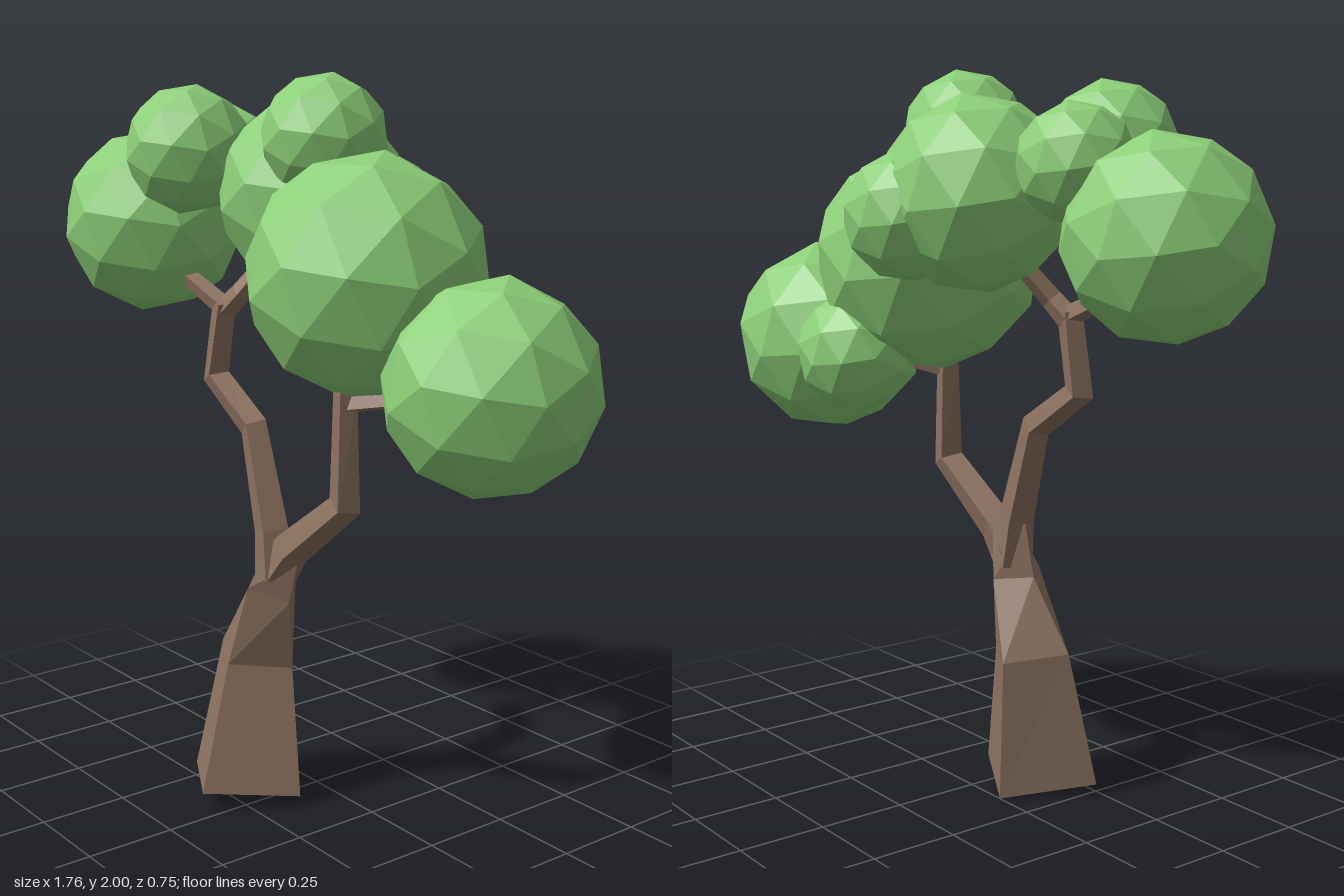
import * as THREE from 'three';

const bark = new THREE.MeshStandardMaterial({ color: 0x8c7260, flatShading: true });
const leaf = new THREE.MeshStandardMaterial({ color: 0x8ccf78, flatShading: true });

// Skins a stack of four-cornered rings (counter-clockwise seen from the tip) and caps both ends.
function loft(rings) {
  const pos = [];
  const quad = (a, b, c, d) => [a, b, c, a, c, d].forEach((p) => pos.push(p.x, p.y, p.z));
  for (let k = 0; k < rings.length - 1; k++) {
    for (let i = 0; i < 4; i++) {
      const j = (i + 1) % 4;
      quad(rings[k][i], rings[k][j], rings[k + 1][j], rings[k + 1][i]);
    }
  }
  quad(...[...rings[0]].reverse());
  quad(...rings[rings.length - 1]);
  const geo = new THREE.BufferGeometry();
  geo.setAttribute('position', new THREE.Float32BufferAttribute(pos, 3));
  geo.computeVertexNormals();
  return geo;
}

// Square-section limb along points [x, y, z, radius], mitred at each bend.
function limb(points, twist = 0.5) {
  const path = points.map((p) => new THREE.Vector3(p[0], p[1], p[2]));
  const dir = (i) => path[i + 1].clone().sub(path[i]).normalize();
  const last = path.length - 1;
  const rings = path.map((p, i) => {
    const t = dir(Math.min(i, last - 1)).add(dir(Math.max(i - 1, 0))).normalize();
    const side = t.clone().cross(new THREE.Vector3(0, 0, 1)).normalize();
    const front = side.clone().cross(t);
    return [0, 1, 2, 3].map((k) => {
      const a = twist + (k * Math.PI) / 2;
      return p.clone()
        .addScaledVector(front, Math.cos(a) * points[i][3])
        .addScaledVector(side, Math.sin(a) * points[i][3]);
    });
  });
  return loft(rings);
}

export function createModel() {
  const group = new THREE.Group();
  const add = (name, geo, mat) => {
    const mesh = new THREE.Mesh(geo, mat);
    mesh.name = name;
    group.add(mesh);
    return mesh;
  };

  // Trunk: corners in the order front, left, back, right
  const trunkRings = [
    [[-0.035, 0.055, 0.37], [0.1, 0.03, 0.135], [-0.13, 0, 0], [-0.27, 0.03, 0.235]],
    [[-0.065, 0.4, 0.26], [0.025, 0.38, 0.105], [-0.13, 0.39, 0.01], [-0.22, 0.41, 0.17]],
    [[-0.03, 0.62, 0.215], [0.045, 0.58, 0.13], [-0.02, 0.6, 0.06], [-0.1, 0.61, 0.14]],
    [[-0.01, 0.71, 0.175], [0.07, 0.7, 0.12], [0.01, 0.76, 0.08], [-0.075, 0.76, 0.13]],
  ];
  add('trunk', loft(trunkRings.map((r) => r.map((c) => new THREE.Vector3(...c)))), bark);

  // Branches and the twigs that carry the foliage
  add('rightBranch', limb([
    [-0.015, 0.64, 0.13, 0.065], [-0.035, 0.77, 0.13, 0.052], [-0.13, 1.045, 0.12, 0.042],
    [-0.31, 1.16, 0.12, 0.042], [-0.28, 1.37, 0.11, 0.036]]), bark);
  add('rightOuterTwig', limb([
    [-0.27, 1.355, 0.11, 0.03], [-0.45, 1.43, 0.12, 0.026], [-0.55, 1.48, 0.12, 0.024]]), bark);
  add('rightInnerTwig', limb([
    [-0.285, 1.345, 0.11, 0.034], [-0.23, 1.4, 0.09, 0.03], [-0.18, 1.5, 0.02, 0.026]]), bark);
  add('leftBranch', limb([
    [-0.01, 0.66, 0.13, 0.06], [0.05, 0.735, 0.125, 0.052], [0.262, 0.9, 0.11, 0.046],
    [0.25, 1.19, 0.1, 0.034], [0.245, 1.35, 0.07, 0.03]]), bark);
  add('leftTwig', limb([
    [0.25, 1.165, 0.1, 0.025], [0.36, 1.185, 0.05, 0.022], [0.5, 1.21, -0.02, 0.02]]), bark);

  // Foliage clumps: x, y, z, radius
  const clumps = [
    [-0.63, 1.575, 0.115, 0.265],
    [-0.11, 1.675, -0.065, 0.262],
    [0.235, 1.49, 0.02, 0.322],
    [0.61, 1.245, -0.07, 0.28],
    [0.05, 1.832, 0.015, 0.17],
    [-0.38, 1.79, 0.155, 0.178],
    [-0.44, 1.755, -0.01, 0.155],
    [0, 1.62, -0.21, 0.175],
    [0.32, 1.23, -0.165, 0.173],
  ];
  const foliage = new THREE.IcosahedronGeometry(1, 1);
  clumps.forEach(([x, y, z, r], i) => {
    const clump = add(`foliage${i + 1}`, foliage, leaf);
    clump.position.set(x, y, z);
    clump.rotation.set(0.4, 0.3, 0.15);
    clump.scale.setScalar(r);
  });

  return group;
}
